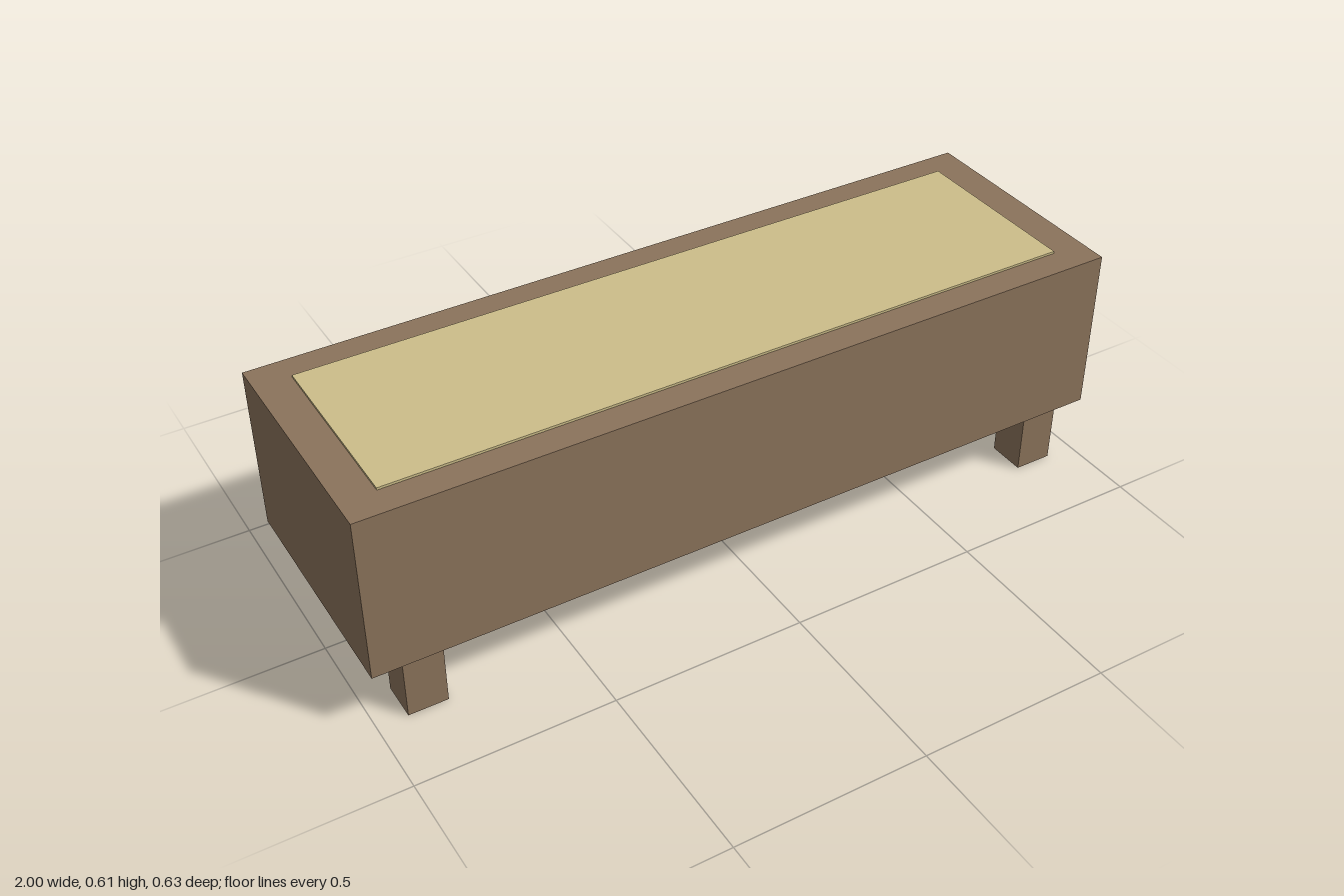
import * as THREE from 'three';

export function createModel() {
  const group = new THREE.Group();
  const wood = new THREE.MeshStandardMaterial({ color: 0x8b735b });
  wood.name = 'brown wood';
  const cushion = new THREE.MeshStandardMaterial({ color: 0xcdbe8a });
  cushion.name = 'pale straw';

  // Box spanning bottom to top, centred on x, z
  function addBox(name, material, width, depth, bottom, top, x = 0, z = 0) {
    const mesh = new THREE.Mesh(new THREE.BoxGeometry(width, top - bottom, depth), material);
    mesh.name = name;
    mesh.position.set(x, (bottom + top) / 2, z);
    group.add(mesh);
  }

  // Bench body and the thin inset panel on its top
  addBox('body', wood, 2, 0.626, 0.164, 0.6);
  addBox('topPanel', cushion, 1.818, 0.475, 0.6, 0.606);

  // Four square legs
  for (const [side, x] of [['Left', 0.873], ['Right', -0.873]]) {
    addBox(`front${side}Leg`, wood, 0.1, 0.1, 0, 0.164, x, 0.25);
    addBox(`back${side}Leg`, wood, 0.1, 0.1, 0, 0.164, x, -0.25);
  }

  return group;
}
